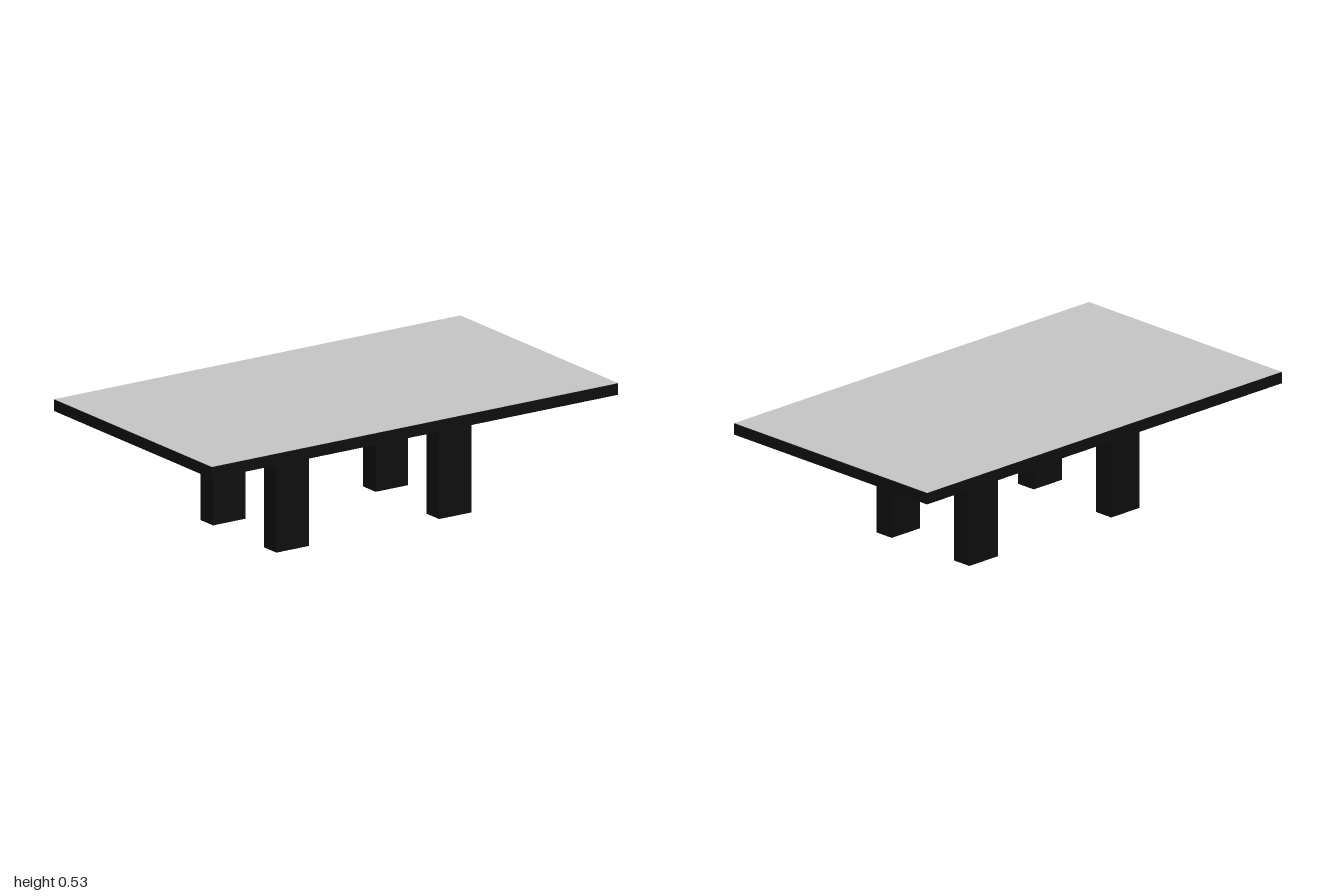
import * as THREE from 'three';

export function createModel() {
  const group = new THREE.Group();
  const black = new THREE.MeshStandardMaterial({ color: 0x0f0f0f });
  black.name = 'black';
  const grey = new THREE.MeshStandardMaterial({ color: 0xc8c8c8 });
  grey.name = 'light grey';

  const addBox = (name, size, position, material) => {
    const mesh = new THREE.Mesh(new THREE.BoxGeometry(...size), material);
    mesh.name = name;
    mesh.position.set(...position);
    group.add(mesh);
  };

  // Slab with a thin pale surface sheet
  addBox('tableTop', [2, 0.048, 1.12], [0, 0.504, 0], black);
  addBox('topSurface', [1.996, 0.002, 1.116], [0, 0.529, 0], grey);

  // Four legs, set well in from the edges
  for (const [side, x] of [['Left', 0.4], ['Right', -0.4]]) {
    for (const [end, z] of [['front', 0.225], ['back', -0.225]]) {
      addBox(`${end}${side}Leg`, [0.16, 0.48, 0.09], [x, 0.24, z], black);
    }
  }
  return group;
}
